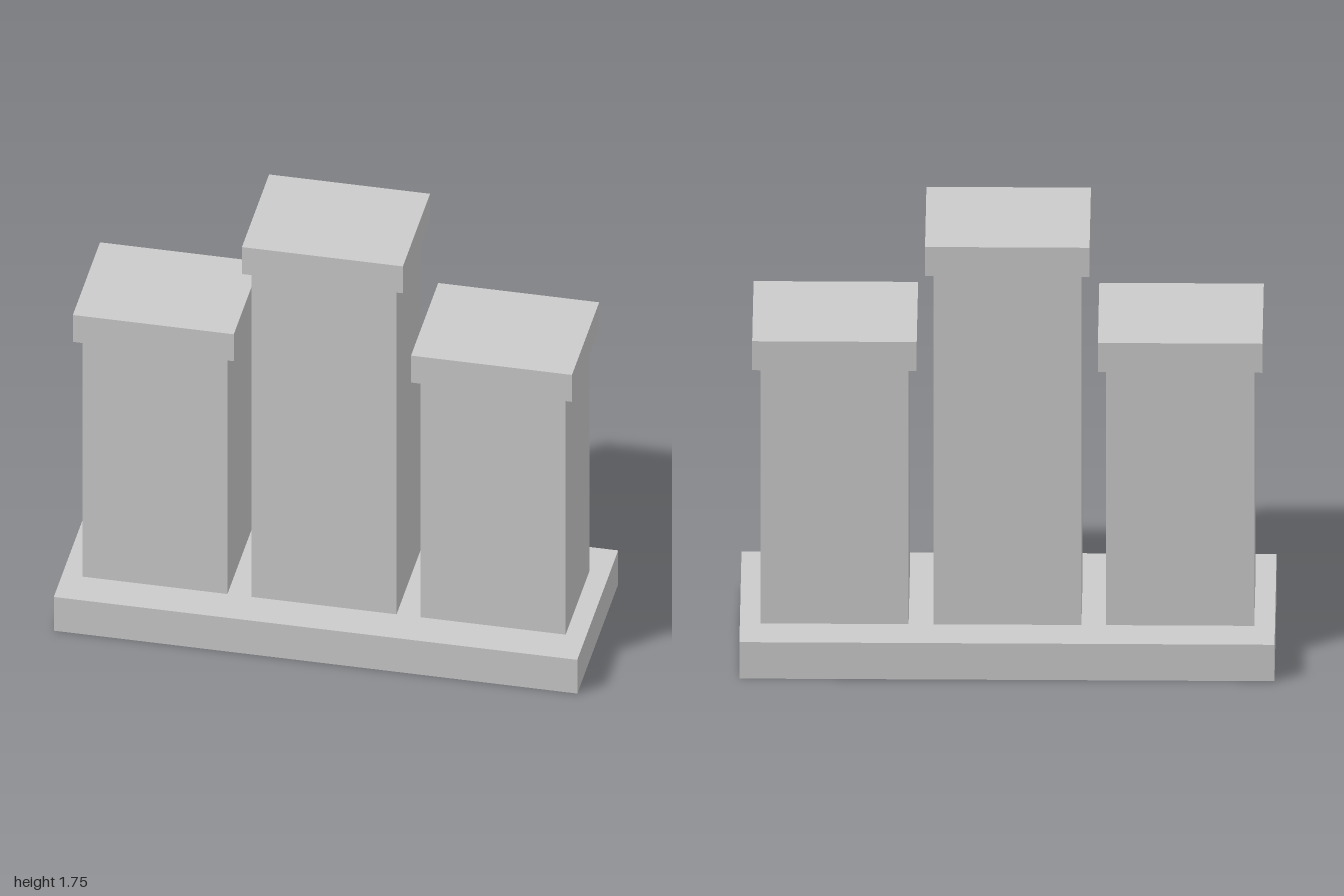
import * as THREE from 'three';

const material = new THREE.MeshStandardMaterial({ color: 0xcccccc, flatShading: true });

// Box resting on the height "bottom"
function block(name, width, depth, bottom, top) {
  const mesh = new THREE.Mesh(new THREE.BoxGeometry(width, top - bottom, depth), material);
  mesh.name = name;
  mesh.position.y = (bottom + top) / 2;
  return mesh;
}

export function createModel() {
  const model = new THREE.Group();
  model.name = 'pillarMonument';

  const baseTop = 0.153;
  const capHeight = 0.122;
  model.add(block('base', 2, 0.738, 0, baseTop));

  // Three capped pillars, the middle one taller
  const pillars = [
    ['rightPillar', -0.646, 1.355],
    ['middlePillar', 0, 1.755],
    ['leftPillar', 0.646, 1.355],
  ];
  for (const [name, x, top] of pillars) {
    const pillar = new THREE.Group();
    pillar.name = name;
    pillar.position.x = x;
    pillar.add(
      block('shaft', 0.554, 0.431, baseTop, top - capHeight),
      block('cap', 0.615, 0.49, top - capHeight, top),
    );
    model.add(pillar);
  }
  return model;
}
